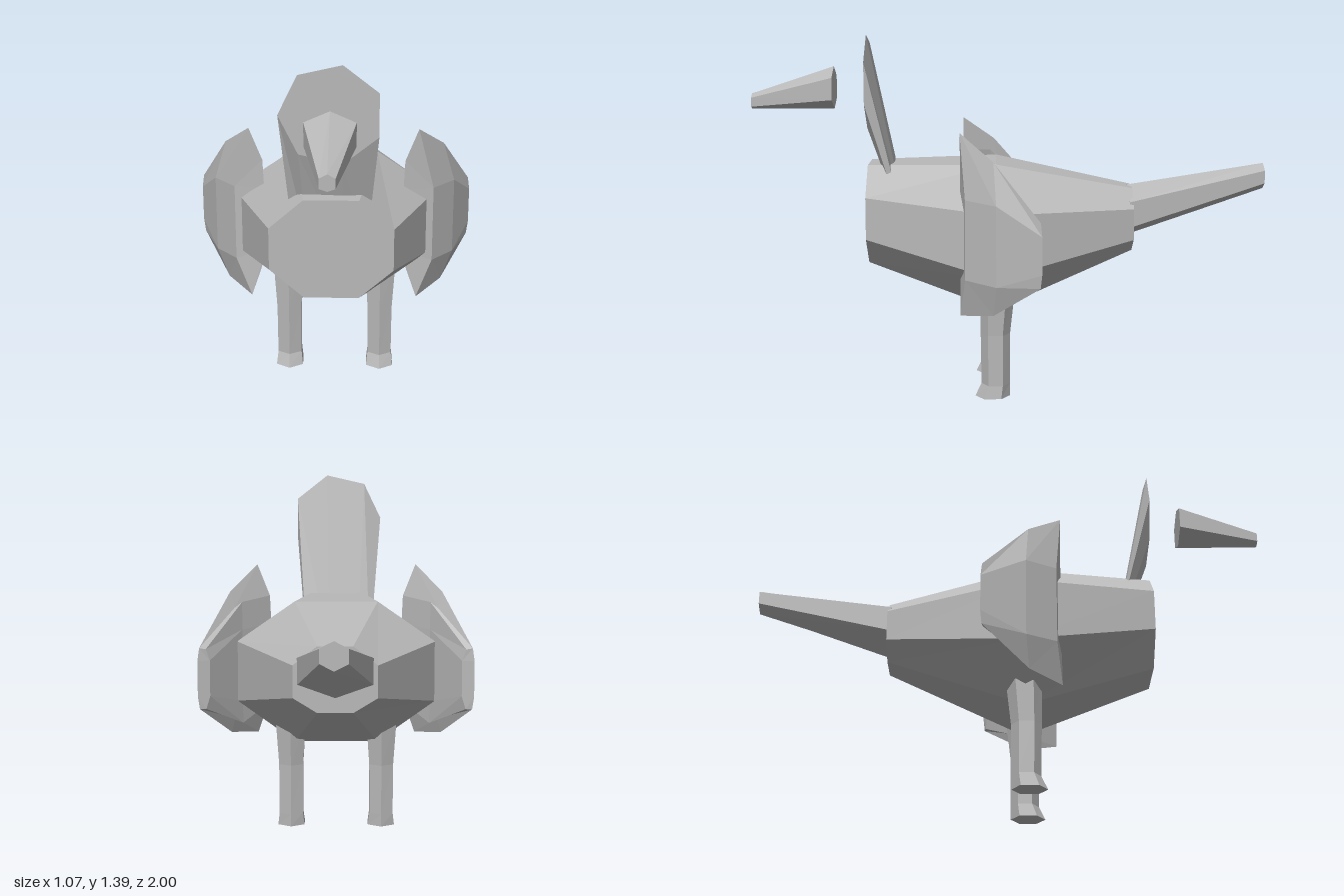
import * as THREE from 'three';

const grey = new THREE.MeshStandardMaterial({ color: 0xb8b8b8, flatShading: true });
grey.name = 'plain grey';

// Closed solid through rings of [x, y, z] points, capped at both ends.
function loft(name, rings) {
  const tris = [];
  const n = rings[0].length;
  for (let r = 0; r < rings.length - 1; r++) {
    for (let i = 0; i < n; i++) {
      const j = (i + 1) % n;
      const [a, b, c, d] = [rings[r][i], rings[r][j], rings[r + 1][j], rings[r + 1][i]];
      tris.push([a, b, c], [a, c, d]);
    }
  }
  const cap = (ring, flip) => {
    const mid = [0, 1, 2].map((k) => ring.reduce((s, p) => s + p[k], 0) / n);
    for (let i = 0; i < n; i++) {
      const a = ring[i], b = ring[(i + 1) % n];
      tris.push(flip ? [mid, b, a] : [mid, a, b]);
    }
  };
  cap(rings[0], true);
  cap(rings[rings.length - 1], false);

  // Turn all faces outward, whichever way the rings run
  let volume = 0;
  for (const [a, b, c] of tris) {
    volume += new THREE.Vector3(...a).dot(new THREE.Vector3(...b).cross(new THREE.Vector3(...c)));
  }
  if (volume < 0) tris.forEach((t) => t.reverse());

  const geo = new THREE.BufferGeometry();
  geo.setAttribute('position', new THREE.Float32BufferAttribute(tris.flat(2), 3));
  geo.computeVertexNormals();
  const mesh = new THREE.Mesh(geo, grey);
  mesh.name = name;
  return mesh;
}

// Eight-sided body section: half widths and heights of its corners
const octagon = (z, wTop, wSide, yBottom, yLow, yHigh, yTop) => [
  [wTop, yBottom, z], [wSide, yLow, z], [wSide, yHigh, z], [wTop, yTop, z],
  [-wTop, yTop, z], [-wSide, yHigh, z], [-wSide, yLow, z], [-wTop, yBottom, z],
];

// Six-sided upright section with a corner at top and bottom
const hexagon = (z, w, yBottom, yLow, yHigh, yTop) => [
  [0, yBottom, z], [w, yLow, z], [w, yHigh, z], [0, yTop, z], [-w, yHigh, z], [-w, yLow, z],
];

// Six-sided level section of a leg
const legRing = (x, y, z, rx, rz) => [0, 1, 2, 3, 4, 5].map((i) => {
  const a = (i * Math.PI) / 3;
  return [x + (rx * Math.sin(a)) / 0.866, y, z + rz * Math.cos(a)];
});

export function createModel() {
  const model = new THREE.Group();
  model.name = 'bird';

  // Body, widest at the wings
  model.add(loft('body', [
    octagon(0.545, 0.1, 0.225, 0.515, 0.625, 0.785, 0.895),
    octagon(0.05, 0.165, 0.395, 0.34, 0.505, 0.745, 0.905),
    octagon(-0.48, 0.065, 0.155, 0.555, 0.61, 0.73, 0.8),
  ]));

  // Tail, rising to the back
  model.add(loft('tail', [
    hexagon(-0.465, 0.14, 0.605, 0.655, 0.755, 0.805),
    hexagon(-1, 0.048, 0.79, 0.815, 0.865, 0.89),
  ]));

  // Beak, set ahead of the head
  model.add(loft('beak', [
    hexagon(0.68, 0.09, 1.105, 1.145, 1.23, 1.27),
    hexagon(1, 0.027, 1.105, 1.115, 1.15, 1.165),
  ]));

  // Head disc narrowing into a flat neck sunk in the body
  const head = [], neck = [];
  for (let i = 0; i < 7; i++) {
    const a = 1.35 + (i * 2 * Math.PI) / 7;
    const x = Math.cos(a), y = Math.sin(a);
    head.push([x * 0.186, 1.213 + y * 0.184, 0.55]);
    neck.push([x * 0.14, 0.66, 0.405 - y * 0.005]);
  }
  model.add(loft('headAndNeck', [head, neck]));

  for (const side of [1, -1]) {
    const name = side > 0 ? 'left' : 'right';

    // Wing: thin curved blade, tall at the front and swept out to the back
    const rings = [
      [[0.27, 0.915, 0.185], [0.32, 1.042, 0.185], [0.42, 0.945, 0.06],
        [0.53, 0.74, -0.11], [0.505, 0.735, -0.105], [0.375, 0.9, 0.075]],
      [[0.265, 0.8, 0.185], [0.38, 0.8, 0.165], [0.465, 0.79, 0.05],
        [0.537, 0.69, -0.115], [0.49, 0.69, -0.1], [0.375, 0.79, 0.07]],
      [[0.265, 0.55, 0.185], [0.38, 0.5, 0.165], [0.465, 0.49, 0.05],
        [0.537, 0.55, -0.115], [0.49, 0.55, -0.1], [0.375, 0.5, 0.07]],
      [[0.28, 0.47, 0.185], [0.32, 0.352, 0.185], [0.42, 0.375, 0.06],
        [0.53, 0.5, -0.11], [0.505, 0.5, -0.105], [0.375, 0.41, 0.075]],
    ];
    model.add(loft(name + 'Wing', rings.map((r) => r.map(([x, y, z]) => [side * x, y, z]))));

    // Leg with a slightly flared foot
    model.add(loft(name + 'Leg', [
      legRing(side * 0.181, 0, 0.065, 0.053, 0.067),
      legRing(side * 0.181, 0.05, 0.053, 0.047, 0.055),
      legRing(side * 0.181, 0.25, 0.054, 0.048, 0.057),
      legRing(side * 0.181, 0.45, 0.045, 0.061, 0.07),
    ]));
  }
  return model;
}
